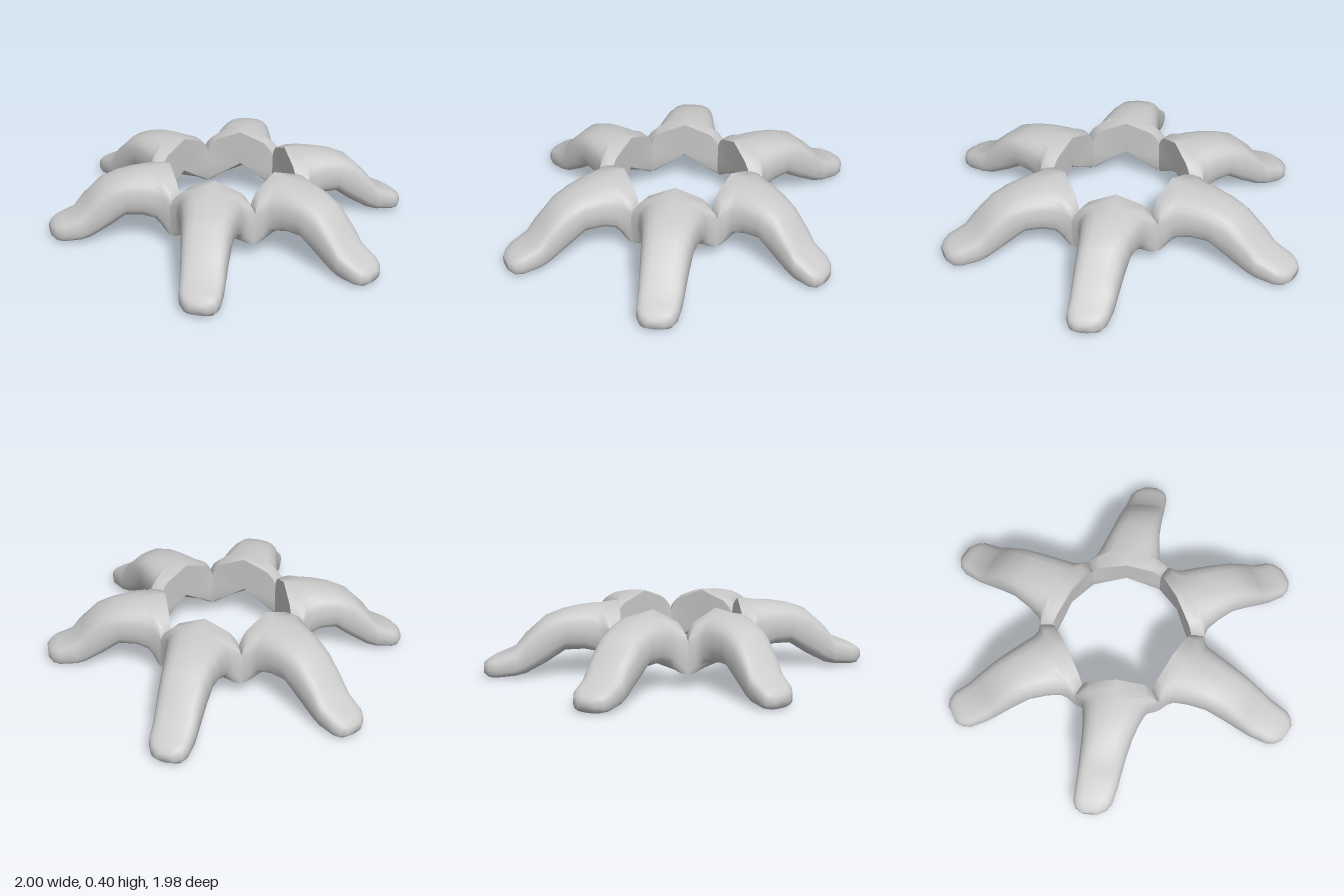
import * as THREE from 'three';
import { toCreasedNormals } from 'three/addons/utils/BufferGeometryUtils.js';

const SIDES = 20;

// Rounded-box loop: unit offsets around a section, squarer as p gets smaller
const boxy = (a, p) => {
  const c = Math.cos(a), s = Math.sin(a);
  return [Math.sign(c) * Math.abs(c) ** p, Math.sign(s) * Math.abs(s) ** p];
};

// Skin a list of equal loops and cap both ends
function loft(loops) {
  const pos = loops.flat(2), index = [], last = loops.length - 1;
  const id = (i, k) => i * SIDES + (k % SIDES);
  for (let i = 0; i < last; i++) {
    for (let k = 0; k < SIDES; k++) {
      index.push(id(i, k), id(i + 1, k), id(i, k + 1));
      index.push(id(i + 1, k), id(i + 1, k + 1), id(i, k + 1));
    }
  }
  for (const i of [0, last]) {
    const c = pos.length / 3;
    for (let j = 0; j < 3; j++) pos.push(loops[i].reduce((s, p) => s + p[j], 0) / SIDES);
    for (let k = 0; k < SIDES; k++) {
      if (i === 0) index.push(c, id(i, k), id(i, k + 1));
      else index.push(c, id(i, k + 1), id(i, k));
    }
  }
  const geo = new THREE.BufferGeometry();
  geo.setAttribute('position', new THREE.Float32BufferAttribute(pos, 3));
  geo.setIndex(index);
  return toCreasedNormals(geo, 1);
}

// Arm sections: [distance out, half width, top, bottom, sag of the sides,
// squareness, undercut of the inner face]
// The first ones flare into arches that join the neighbouring arms as a ring
const ARM = [
  [0.335, 0.198, 0.41, 0.165, 0.11, 0.28, 0.08],
  [0.365, 0.216, 0.41, 0.163, 0.11, 0.29, 0.065],
  [0.4, 0.236, 0.407, 0.16, 0.108, 0.34, 0.045],
  [0.425, 0.198, 0.402, 0.158, 0.07, 0.5, 0.03],
  [0.455, 0.176, 0.397, 0.156, 0.035, 0.6, 0.015],
  [0.52, 0.158, 0.388, 0.153, 0.01, 0.68, 0],
  [0.61, 0.139, 0.37, 0.148, 0, 0.7, 0],
  [0.7, 0.128, 0.335, 0.083, 0, 0.66, 0],
  [0.8, 0.119, 0.235, 0.026, 0, 0.6, 0],
  [0.85, 0.116, 0.165, 0.014, 0, 0.58, 0],
  [0.94, 0.107, 0.125, 0.008, 0, 0.6, 0],
  [0.975, 0.087, 0.105, 0.01, 0, 0.65, 0],
  [1.0, 0.05, 0.085, 0.03, 0, 0.8, 0],
];
const ROOT = 0.42;

// Arm reaching along +x, drifting sideways toward its tip
function armGeometry(length, drift) {
  return loft(ARM.map(([d, w, y1, y0, sag, p, undercut]) => {
    const f = Math.max(0, (d - ROOT) / (1 - ROOT));
    const r = d + f * (length - 1);
    const loop = [];
    for (let k = 0; k < SIDES; k++) {
      const [c, s] = boxy((k / SIDES) * Math.PI * 2, p);
      loop.push([
        r + (undercut * (1 - s) * (1 - c * c)) / 2,
        (y0 + y1) / 2 + (s * (y1 - y0)) / 2 - sag * c * c,
        drift * f + c * w,
      ]);
    }
    return loop;
  }));
}

export function createModel() {
  const group = new THREE.Group();
  group.name = 'sixArmedRing';
  const material = new THREE.MeshStandardMaterial({ color: 0xcccccc });

  // Length and sideways drift of each arm, counted from +x toward +z
  const arms = [
    ['leftArm', 1.0, 0.1], ['frontLeftArm', 1.045, 0.04], ['frontRightArm', 1.065, -0.08],
    ['rightArm', 1.0, 0.1], ['backRightArm', 1.05, 0.03], ['backLeftArm', 1.085, -0.06],
  ];
  arms.forEach(([name, length, drift], i) => {
    const arm = new THREE.Mesh(armGeometry(length, drift), material);
    arm.name = name;
    arm.rotation.y = (-i * Math.PI) / 3;
    group.add(arm);
  });
  return group;
}
